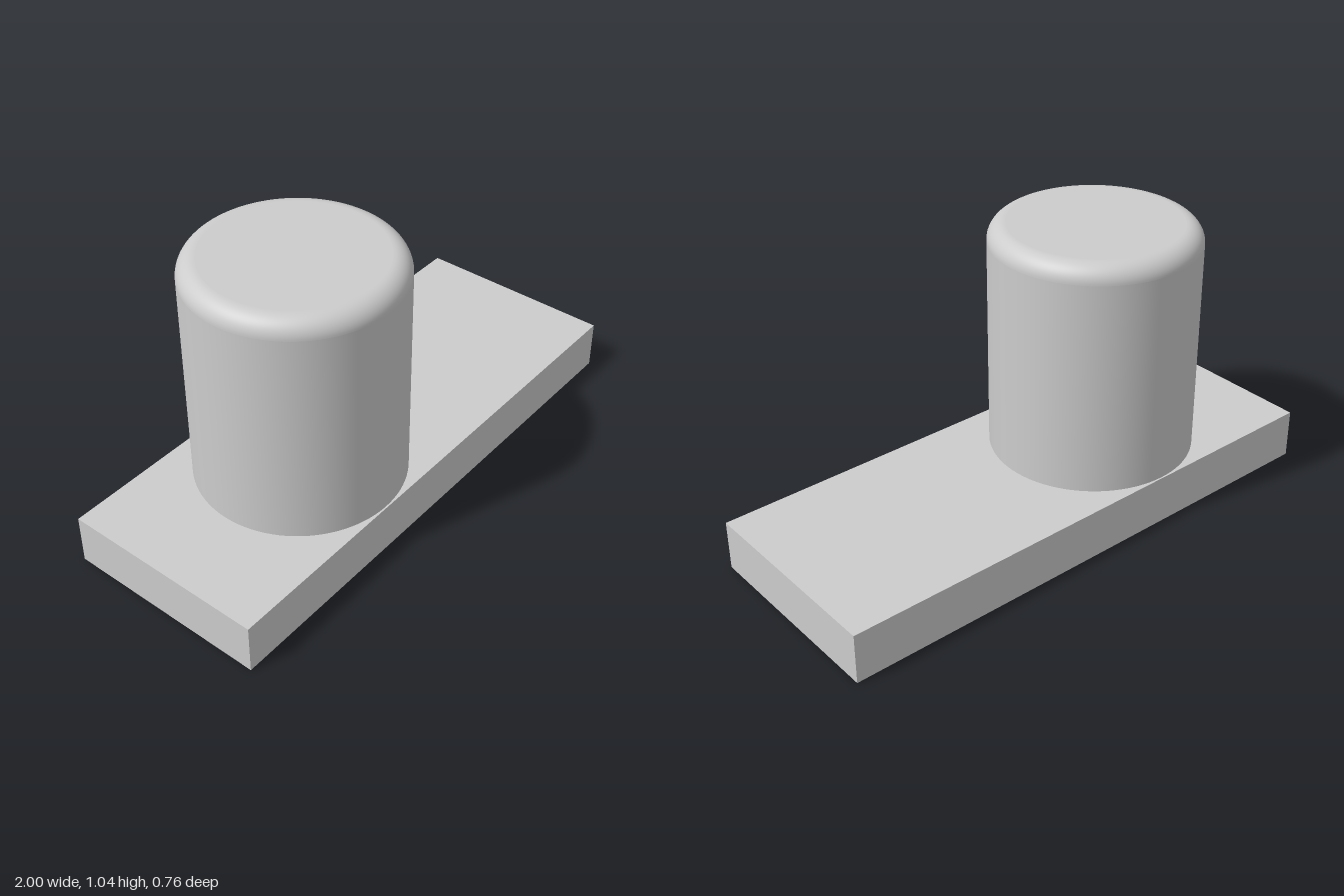
import * as THREE from 'three';

export function createModel() {
  const model = new THREE.Group();
  const grey = new THREE.MeshStandardMaterial({ color: 0xcccccc });
  grey.name = 'light grey';

  const add = (name, geometry, parent, x = 0, y = 0, z = 0) => {
    const mesh = new THREE.Mesh(geometry, grey);
    mesh.name = name;
    mesh.position.set(x, y, z);
    parent.add(mesh);
    return mesh;
  };

  // Flat rectangular base
  const baseHeight = 0.186;
  add('base', new THREE.BoxGeometry(2, baseHeight, 0.76), model, 0, baseHeight / 2, 0);

  // Upright post, off-centre on the base
  const radius = 0.374, top = 1.044, fillet = 0.065, sides = 96;
  const post = new THREE.Group();
  post.name = 'post';
  post.position.x = -0.315;
  model.add(post);

  // Straight wall
  const wallHeight = top - fillet - baseHeight;
  add('postWall', new THREE.CylinderGeometry(radius, radius, wallHeight, sides, 1, true),
    post, 0, baseHeight + wallHeight / 2, 0);

  // Rounded upper edge: a quarter arc turned around the axis
  const arc = [];
  const steps = 16;
  for (let i = 0; i <= steps; i++) {
    const a = (i / steps) * Math.PI / 2;
    arc.push(new THREE.Vector2(
      radius - fillet + fillet * Math.cos(a),
      top - fillet + fillet * Math.sin(a)));
  }
  add('postRoundedEdge', new THREE.LatheGeometry(arc, sides), post);

  // Flat top
  add('postTop', new THREE.CircleGeometry(radius - fillet, sides).rotateX(-Math.PI / 2),
    post, 0, top, 0);

  return model;
}
